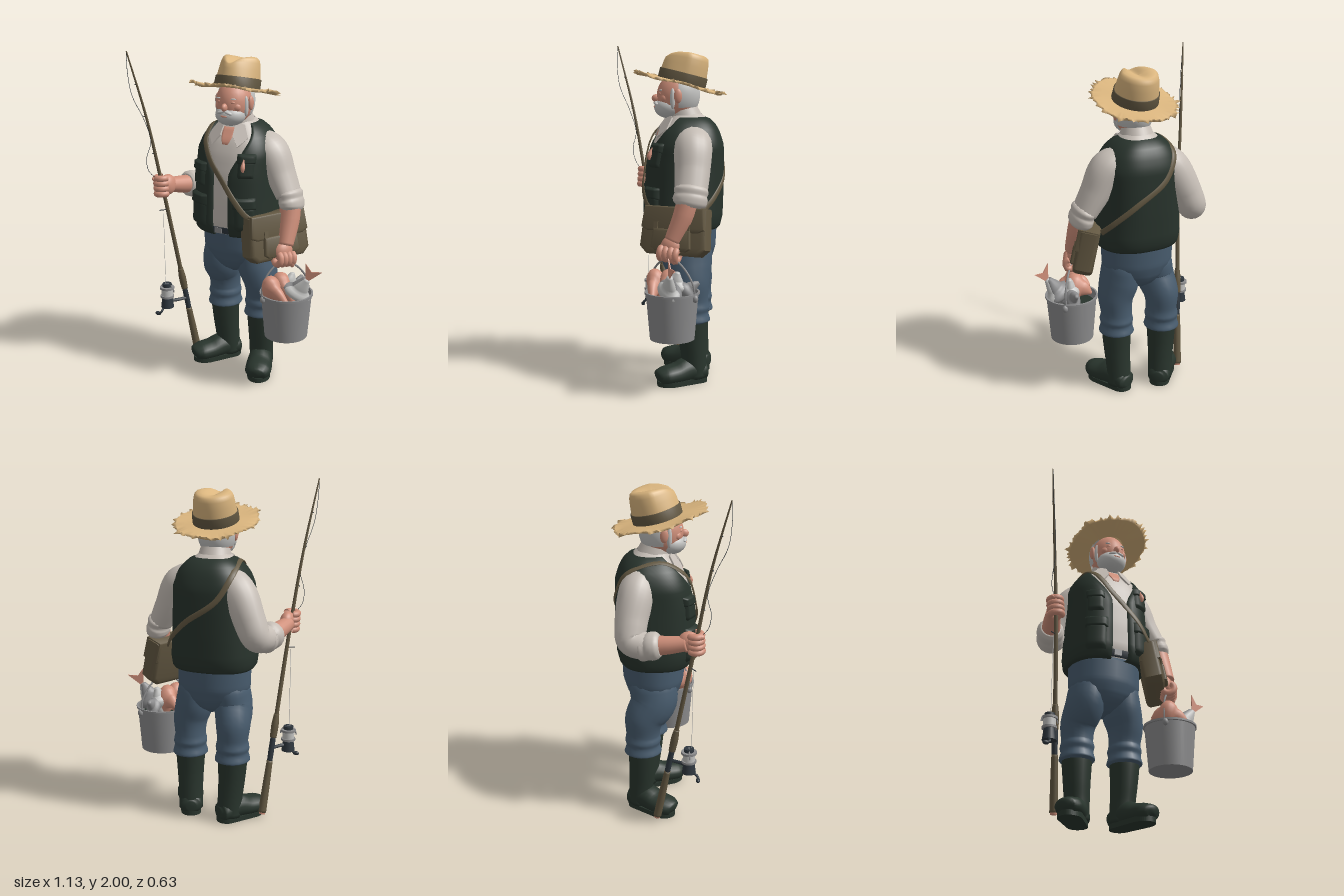
import * as THREE from 'three';
import { toCreasedNormals } from 'three/addons/utils/BufferGeometryUtils.js';

const V = (x, y, z) => new THREE.Vector3(x, y, z);
const CX = -0.045; // body centre line
const mat = (name, color) => Object.assign(new THREE.MeshStandardMaterial({ color, side: THREE.DoubleSide }), { name });
const vestGreen = mat('vest green', 0x28332c), bootGreen = mat('boot green', 0x29352d), denim = mat('denim', 0x485c6e),
  linen = mat('linen', 0xc6beb6), skin = mat('skin', 0xd0907b), straw = mat('straw', 0xdab57e),
  canvas = mat('canvas brown', 0x635842), steel = mat('steel', 0x8c8c8d), silver = mat('silver grey', 0xc2c2c0), dark = mat('dark metal', 0x2f373e);

export function createModel() {
  const root = new THREE.Group();
  const add = (name, geo, m, pos, parent = root) => {
    const mesh = new THREE.Mesh(geo, m);
    mesh.name = name;
    if (pos) mesh.position.set(...pos);
    parent.add(mesh);
    return mesh;
  };
  const group = (name, pos) => { const g = new THREE.Group(); g.name = name; g.position.set(...pos); root.add(g); return g; };
  const ball = (name, m, pos, r, parent) => add(name, new THREE.SphereGeometry(1, 24, 16).scale(...r), m, pos, parent);

  // Skin over rows of points
  function loft(rings, closed = true) {
    const n = rings[0].length, pos = [], idx = [];
    rings.forEach(r => r.forEach(p => pos.push(p.x, p.y, p.z)));
    for (let i = 0; i < rings.length - 1; i++) for (let j = 0; j < (closed ? n : n - 1); j++) {
      const k = (j + 1) % n, a = i * n + j, b = i * n + k;
      idx.push(a, b, a + n, b, b + n, a + n);
    }
    const g = new THREE.BufferGeometry();
    g.setAttribute('position', new THREE.Float32BufferAttribute(pos, 3));
    g.setIndex(idx);
    g.computeVertexNormals();
    return g;
  }
  // Capped tube of changing oval section; ref gives the first radius its direction
  function sweep(pts, radii, ref = V(0, 0, 1), steps = 24, seg = 18) {
    const path = new THREE.CatmullRomCurve3(pts.map(p => V(...p)));
    const rad = new THREE.CatmullRomCurve3(radii.map(r => Array.isArray(r) ? V(r[0], r[1], 0) : V(r, r, 0)));
    const rings = [];
    for (let i = 0; i <= steps; i++) {
      const t = i / steps, c = path.getPoint(t), T = path.getTangent(t), r = rad.getPoint(t);
      const f = typeof ref === 'function' ? ref(c) : ref.clone();
      const N = f.addScaledVector(T, -T.dot(f)).normalize(), B = T.clone().cross(N);
      const ring = Array.from({ length: seg }, (_, j) => {
        const a = j / seg * Math.PI * 2;
        return c.clone().addScaledVector(N, r.x * Math.cos(a)).addScaledVector(B, r.y * Math.sin(a));
      });
      if (i === 0) rings.push(ring.map(() => c));
      rings.push(ring);
      if (i === steps) rings.push(ring.map(() => c));
    }
    return loft(rings);
  }
  const wire = (pts, r) => new THREE.TubeGeometry(new THREE.CatmullRomCurve3(pts.map(p => V(...p))), 32, r, 6);

  // Torso surface: height, half width, front z, back z
  const rows = [[0.92, .225, .125, -.26], [1.0, .235, .15, -.28], [1.15, .225, .15, -.285], [1.3, .22, .14, -.287],
    [1.42, .22, .115, -.285], [1.5, .19, .08, -.26], [1.55, .145, .04, -.23], [1.6, .085, 0, -.17]];
  function torso(a, y, off = 0) {
    let i = 0;
    while (i < rows.length - 2 && y > rows[i + 1][0]) i++;
    const t = (y - rows[i][0]) / (rows[i + 1][0] - rows[i][0]);
    const [, rx, zf, zb] = rows[i].map((v, k) => v + (rows[i + 1][k] - v) * t);
    const pw = v => Math.sign(v) * Math.abs(v) ** 0.8;
    return V(CX + (rx + off) * pw(Math.sin(a)), y, (zf + zb) / 2 + ((zf - zb) / 2 + off) * pw(Math.cos(a)));
  }
  const ringAt = (y, off) => Array.from({ length: 48 }, (_, j) => torso(j / 48 * Math.PI * 2, y, off));
  const span = (a, b, n) => Array.from({ length: n + 1 }, (_, i) => a + (b - a) * i / n);
  add('shirtBody', loft(span(0.94, 1.6, 20).map(y => ringAt(y, 0))), linen);
  add('belt', loft([[.945, 0], [.945, .008], [.985, .008], [.985, 0]].map(([y, o]) => ringAt(y, o))), dark);
  add('buckle', new THREE.BoxGeometry(.045, .035, .01), steel, [-.06, .967, .15]);

  // Vest, open down the front
  const gap = y => y < 1.3 ? .15 : .15 + ((y - 1.3) / .27) ** 1.6 * .9;
  const vestRow = (y, off) => {
    const g = gap(y), r = span(g, Math.PI * 2 - g, 56).map(a => torso(a, y, off));
    return [torso(g, y, -.005), ...r, torso(-g, y, -.005)];
  };
  add('vest', loft([vestRow(.94, -.03), vestRow(.93, .008), ...span(.945, 1.57, 22).map(y => vestRow(y, .016)), vestRow(1.585, -.005)], false), vestGreen);
  // Padded patch lying on the torso
  const patch = (ac, hw, y0, y1, off, n = 8) => loft(span(0, 1, n).map((v, i) => span(-1, 1, n).map((u, j) =>
    torso(ac + u * (typeof hw === 'function' ? hw(v) : hw), y0 + (y1 - y0) * v, i % n && j % n ? off : off - .02))), false);
  for (const [s, y] of [[-1, 1.22], [1, 1.29]]) {
    add('lowerPocket', patch(s * .58, .3, .97, 1.15, .032), vestGreen);
    add('lowerPocketFlap', patch(s * .58, .32, 1.11, 1.18, .04), vestGreen);
    add('chestPocket', patch(s * .6, .25, y, y + .12, .03), vestGreen);
    add('chestPocketFlap', patch(s * .6, .27, y + .09, y + .145, .038), vestGreen);
  }
  add('float', sweep([[.1, 1.34, .15], [.1, 1.365, .148], [.098, 1.41, .13]], [.007, .013, .003]), skin);
  add('openNeck', patch(0, v => .02 + .3 * v, 1.46, 1.575, .004), skin);
  add('neck', new THREE.CylinderGeometry(.066, .076, .17, 24), skin, [CX, 1.59, -.05]);

  // Collar
  const collar = add('collarBand', new THREE.CylinderGeometry(.085, .105, .075, 32, 1, true, .5, Math.PI * 2 - 1), linen, [CX, 1.59, -.07]);
  collar.rotation.x = .25;
  for (const s of [-1, 1]) {
    const sh = new THREE.Shape([[.035, .08], [.09, .075], [.13, 0], [.085, -.07], [.04, -.01]].map(p => new THREE.Vector2(s * p[0], p[1])));
    const flap = add('collarFlap', new THREE.ExtrudeGeometry(sh, { depth: .01, bevelEnabled: false }), linen, [CX, 1.535, .075]);
    flap.rotation.set(-.65, s * .35, 0);
  }

  // Trousers and boots: x, z of the leg, foot turn, outward sign
  const hip = [[.66, .03, .07], [.7, .11, .13], [.75, .185, .16], [.82, .218, .18], [.96, .22, .187]];
  add('trouserSeat', sweep(hip.map(h => [CX, h[0], -.08]), hip.map(h => [h[2], h[1]])), denim);
  for (const [x, z, yaw, s] of [[.1, -.1, .36, 1], [-.18, -.15, -.65, -1]]) {
    add('trouserLeg', sweep([[CX + s * .1, .9, -.085], [CX + s * .11, .79, -.085], [CX + s * .12, .7, -.085], [x, .6, z + .01], [x, .5, z], [x, .46, z], [x, .43, z], [x, .385, z], [x, .37, z]],
      [[.1, .07], [.14, .105], [.138, .112], [.117, .103], [.1, .092], [.107, .1], [.1, .095], [.112, .105], .085], V(0, 0, 1), 40), denim);
    const boot = group('boot', [x, 0, z]);
    boot.rotation.y = yaw;
    add('shaft', sweep([[0, .03, -.025], [0, .15, -.015], [0, .26, -.005], [0, .37, 0], [0, .395, 0]], [.072, .074, .08, .088, .09]), bootGreen, null, boot);
    add('topBand', new THREE.TorusGeometry(.089, .006, 8, 32).rotateX(Math.PI / 2), bootGreen, [0, .385, 0], boot);
    add('foot', sweep([[0, .06, -.1], [0, .06, -.08], [0, .08, .02], [0, .065, .1], [0, .06, .17], [0, .055, .215], [0, .05, .228]],
      [[.03, .03], [.055, .065], [.075, .072], [.062, .08], [.056, .08], [.042, .055], [.01, .01]], V(0, 1, 0)), bootGreen, null, boot);
    const sole = new THREE.Shape();
    sole.absellipse(0, -.13, .07, .09, Math.PI, Math.PI * 2);
    sole.absellipse(0, .04, .06, .06, 0, Math.PI);
    add('sole', new THREE.ExtrudeGeometry(sole, { depth: .03, bevelEnabled: false }).rotateX(-Math.PI / 2), bootGreen, null, boot);
  }

  // Arms
  const X = V(1, 0, 0);
  add('leftSleeve', sweep([[.08, 1.47, -.11], [.16, 1.41, -.1], [.228, 1.28, -.09], [.288, 1.17, -.075]], [[.1, .08], [.112, .098], [.102, .085], [.095, .07]]), linen);
  add('leftCuff', sweep([[.287, 1.2, -.08], [.294, 1.18, -.077], [.301, 1.155, -.073], [.307, 1.135, -.07], [.312, 1.11, -.066], [.315, 1.09, -.062]],
    [[.085, .06], [.1, .07], [.094, .066], [.1, .069], [.096, .067], [.075, .055]]), linen);
  add('leftForearm', sweep([[.305, 1.14, -.06], [.315, 1.04, -.03], [.322, .9, .035]], [.064, .06, .045]), skin);
  add('rightSleeve', sweep([[-.14, 1.47, -.15], [-.22, 1.39, -.18], [-.293, 1.25, -.213], [-.337, 1.155, -.213], [-.375, 1.13, -.13]], [.09, .105, .094, .086, .078], X, 32), linen);
  add('rightCuff', sweep([[-.36, 1.13, -.16], [-.367, 1.13, -.145], [-.378, 1.135, -.12], [-.387, 1.14, -.1], [-.395, 1.145, -.075], [-.4, 1.148, -.055]], [.072, .084, .078, .082, .078, .06], X), linen);
  add('rightForearm', sweep([[-.385, 1.14, -.1], [-.415, 1.155, -.01], [-.445, 1.175, .09]], [.058, .052, .042], X), skin);
  // Fist closed round an axis, wrist on the given side
  function fist(name, pos, axis, wrist) {
    const g = group(name, pos), z = wrist.clone().negate().normalize(), x = axis.clone().cross(z).normalize();
    g.quaternion.setFromRotationMatrix(new THREE.Matrix4().makeBasis(x, z.clone().cross(x), z));
    g.scale.setScalar(1.12);
    for (let i = 0; i < 4; i++) add('finger', new THREE.TorusGeometry(.03, .0175, 10, 20, 4.2).rotateX(Math.PI / 2), skin, [0, -.042 + i * .028, 0], g);
    ball('backOfHand', skin, [.012, 0, -.035], [.038, .056, .055], g);
    ball('thumb', skin, [-.024, .04, .005], [.017, .018, .042], g);
  }
  fist('leftHand', [.32, .825, .05], V(.45, 0, -.9), V(0, 1, -.15));
  fist('rightHand', [-.452, 1.18, .138], V(-.09, 1, .16), V(.1, -.05, -1));

  // Head
  ball('head', skin, [CX, 1.7, -.025], [.104, .135, .12]);
  add('hair', new THREE.SphereGeometry(1, 32, 16, Math.PI - .05, Math.PI + .1, .5, 1.6).scale(.113, .145, .132), silver, [CX, 1.71, -.03]);
  ball('beard', silver, [CX, 1.637, .022], [.09, .066, .088]);
  ball('nose', skin, [CX, 1.69, .096], [.017, .024, .028]);
  ball('mouth', skin, [CX, 1.64, .106], [.022, .006, .006]);
  for (const s of [-1, 1]) {
    ball('moustache', silver, [CX + s * .022, 1.662, .097], [.028, .01, .015]).rotation.z = -s * .3;
    ball('cheek', skin, [CX + s * .045, 1.69, .052], [.036, .03, .026]);
    ball('eyelid', skin, [CX + s * .038, 1.718, .074], [.018, .01, .012]);
    ball('eyebrow', silver, [CX + s * .04, 1.738, .073], [.024, .005, .01]);
    ball('ear', skin, [CX + s * .108, 1.705, -.022], [.014, .042, .024]);
    ball('sideburn', silver, [CX + s * .092, 1.69, .008], [.014, .06, .016]);
  }

  // Straw hat with a pinched crown and frayed brim
  const hat = group('hat', [CX, 1.78, -.04]);
  hat.rotation.x = -.25;
  let seed = 7;
  const rnd = () => (seed = seed * 16807 % 2147483647) / 2147483647;
  const around = (n, f) => Array.from({ length: n }, (_, j) => f(j / n * Math.PI * 2, j));
  const crown = (a, y, s, off = 0) => {
    const k = y / .185, z = (.14 * s + off) * Math.cos(a), f = Math.max(0, z / .14);
    const x = (.129 * s + off) * Math.sin(a) * (1 - .45 * f * k);
    const dent = .036 * Math.exp(-((x / .035) ** 2)) * THREE.MathUtils.smoothstep(z, -.13, .06);
    return V(x, y - k ** 4 * (dent + .02 * f), z - .012);
  };
  const profile = [[0, 1], [.06, .985], [.11, .95], [.15, .91], [.172, .85], [.183, .74], [.185, .55], [.183, .35], [.18, .18], [.18, .001]];
  add('crown', loft(profile.map(([y, s]) => around(48, a => crown(a, y, s)))), straw, null, hat);
  add('hatBand', loft([[.002, 0], [.002, .006], [.06, .006], [.062, 0]].map(([y, o]) => around(48, a => crown(a, y, .99, o)))), canvas, null, hat);
  const brimRing = (s, dy, fray) => around(120, a => {
    const k = s + (fray ? rnd() ** 3 * .13 : 0);
    return V(.24 * k * Math.sin(a), dy + (s > .8 ? .007 * Math.sin(a * 5) : 0) + (fray ? (rnd() - .5) * .025 : 0), .274 * k * Math.cos(a));
  });
  add('brim', loft([brimRing(.4, -.006), brimRing(.95, -.01), brimRing(.975, 0, true), brimRing(.95, .003), brimRing(.75, .003), brimRing(.4, .006)]), straw, null, hat);

  // Shoulder bag and strap: angle, height, distance from the torso
  const strap = [[.95, 1.03, .05], [.6, 1.08, .05], [.32, 1.17, .045], [.08, 1.26, .028], [-.17, 1.37, .024], [-.32, 1.43, .026], [-.55, 1.495, .026], [-1.3, 1.56, .018],
    [-2.4, 1.5, .02], [-2.9, 1.36, .018], [-3.5, 1.23, .018], [-4.1, 1.12, .024], [-4.45, 1.05, .04]];
  add('strap', sweep(strap.map(p => torso(...p).toArray()), strap.map(() => [.005, .017]),
    p => V(p.x - CX, Math.max(0, p.y - 1.3) * 1.5, p.z + .08), 80, 10), canvas);
  const bag = group('bag', [.233, .935, .002]);
  bag.rotation.set(0, -.52, .2);
  const slab = (w, d, h, bevel) => {
    const s = new THREE.Shape([[-.42, -.5], [.42, -.5], [.5, -.38], [.47, .5], [-.47, .5], [-.5, -.38]].map(p => new THREE.Vector2(p[0] * d, p[1] * h)));
    return toCreasedNormals(new THREE.ExtrudeGeometry(s, { depth: w, bevelSize: bevel, bevelThickness: bevel, bevelSegments: 3 }).translate(0, 0, -w / 2).rotateY(Math.PI / 2), .8);
  };
  add('bagBody', slab(.07, .36, .22, .025), canvas, null, bag);
  add('bagFlap', slab(.105, .37, .12, .012), canvas, [.005, .07, 0], bag);
  add('bagPocket', slab(.03, .22, .1, .012), canvas, [.055, -.05, 0], bag);
  for (const z of [-.1, .1]) add('bagTab', new THREE.BoxGeometry(.015, .1, .025), canvas, [.07, 0, z], bag);

  // Bucket with its catch
  const bucket = group('bucket', [.333, .335, .035]);
  const wall = [[0, 0], [.128, 0], [.15, .262], [.158, .264], [.158, .276], [.147, .276], [.124, .02], [0, .02]];
  add('pail', toCreasedNormals(new THREE.LatheGeometry(wall.map(p => new THREE.Vector2(...p)), 48), .6), steel, null, bucket);
  add('pailInside', new THREE.CircleGeometry(.14, 32).rotateX(-Math.PI / 2), vestGreen, [0, .22, 0], bucket);
  add('handle', wire([[-.1, .25, .12], [-.1, .32, .12], [-.075, .41, .085], [-.02, .47, .02], [.04, .43, -.05], [.085, .33, -.11], [.088, .25, -.12]], .006), steel, null, bucket);
  for (const s of [-1, 1]) ball('handleLug', steel, [s * .095, .25, -s * .122], [.017, .022, .017], bucket);
  function fish(m, pts, w, tail) {
    const g = new THREE.Group();
    g.name = 'fish';
    bucket.add(g);
    const body = () => sweep(pts, [.008, [w, w * .7], [w, w * .7], w * .3], V(0, 1, .3));
    add('fishBody', body(), m, null, g);
    if (!tail) return;
    add('fishBack', body(), steel, [-.01, .005, -.006], g);
    const s = new THREE.Shape([[-.012, 0], [-.055, .085], [0, .055], [.055, .085], [.012, 0]].map(p => new THREE.Vector2(...p)));
    const t = add('fishTail', new THREE.ExtrudeGeometry(s, { depth: .006, bevelEnabled: false }), skin, pts[3], g);
    t.rotation.set(0, .25, tail);
  }
  fish(silver, [[.03, .2, .02], [.06, .26, .022], [.1, .32, .024], [.145, .39, .026]], .05, -.45);
  fish(silver, [[-.01, .2, -.02], [0, .27, -.02], [.015, .34, -.02], [.025, .39, -.03]], .042);
  fish(steel, [[0, .22, -.03], [.02, .26, -.06], [.03, .3, -.1], [.03, .33, -.15]], .036);
  fish(skin, [[-.13, .3, .02], [-.09, .31, .06], [-.02, .3, .1], [.06, .25, .12]], .052);
  fish(skin, [[-.11, .28, -.05], [-.06, .31, -.02], [.01, .3, .035], [.08, .25, .07]], .052);

  // Fishing rod
  const rod = [[-.345, .02, -.075], [-.395, .6, .033], [-.45, 1.18, .138], [-.5, 1.6, .21], [-.56, 2, .305]];
  const curve = new THREE.CatmullRomCurve3(rod.map(p => V(...p)));
  const along = (t0, t1) => [t0, (t0 + t1) / 2, t1].map(t => curve.getPoint(t).toArray());
  add('rodBlank', sweep(rod, [.012, .013, .011, .008, .004], X, 40, 10), canvas);
  add('rearGrip', sweep(along(.005, .14), [.024, .022, .018]), canvas);
  add('rodButt', sweep(along(0, .01), [.019, .02, .019]), skin);
  add('reelSeat', sweep(along(.14, .2), [.016, .017, .016]), dark);
  add('foreGrip', sweep(along(.2, .26), [.02, .022, .016]), canvas);
  for (const [t, d] of [[.43, .04], [.62, .014], [.76, .012], [.88, .01]]) {
    const p = curve.getPoint(t), q = p.clone().add(V(-d, -.005, d * .7));
    add('guide', wire([p.toArray(), q.toArray()], .003), dark);
  }
  add('lowerLine', wire([[-.455, .53, .12], [-.455, 1.01, .125]], .0015), silver);
  add('upperLine', wire([[-.465, 1.22, .16], [-.503, 1.28, .2], [-.505, 1.36, .215], [-.485, 1.46, .195], [-.503, 1.6, .235], [-.54, 1.75, .295], [-.556, 1.9, .31], rod[4]], .0015), dark);

  // Reel
  const reel = group('reel', [-.455, .45, .105]);
  reel.scale.setScalar(1.12);
  add('reelFoot', wire([[.07, -.03, -.09], [.04, -.03, -.04], [0, -.03, 0]], .01), dark, null, reel);
  add('reelBody', new THREE.CylinderGeometry(.028, .036, .06, 20), dark, [0, -.035, 0], reel);
  for (const [r, h, y, m] of [[.038, .012, .0, steel], [.032, .05, .025, silver], [.04, .012, .05, steel], [.026, .018, .066, dark]])
    add('spool', new THREE.CylinderGeometry(r, r, h, 24), m, [0, y, 0], reel);
  add('bail', new THREE.TorusGeometry(.043, .004, 8, 24, Math.PI), steel, [0, .03, 0], reel);
  add('crank', wire([[0, -.05, 0], [-.01, -.065, .025], [-.015, -.085, .045], [-.03, -.095, .045]], .007), dark, null, reel);
  ball('crankKnob', dark, [-.034, -.095, .045], [.018, .011, .011], reel);
  return root;
}
